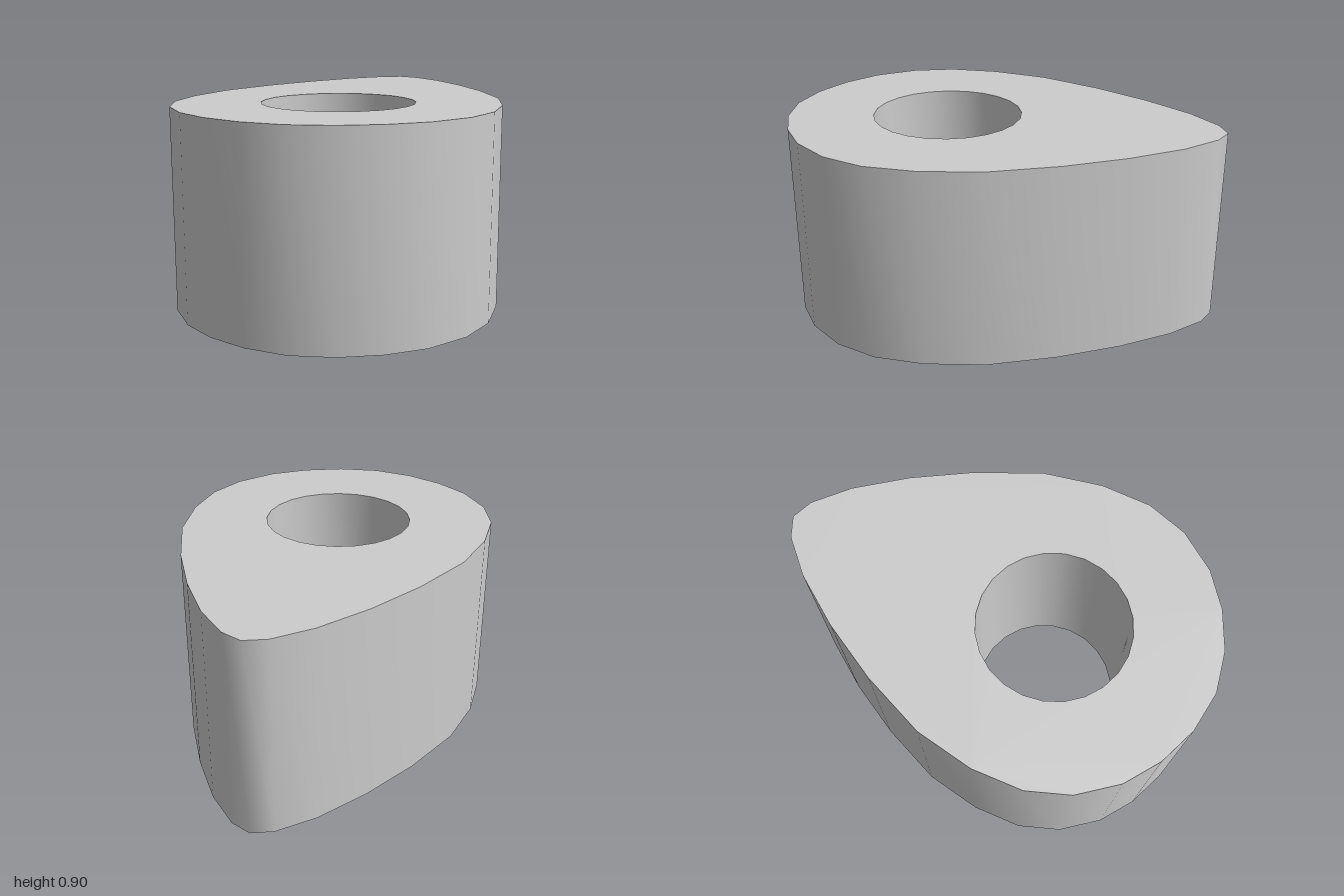
import * as THREE from 'three';
import { toCreasedNormals } from 'three/addons/utils/BufferGeometryUtils.js';

const HEIGHT = 0.9;

// Half of the teardrop outline as [x, z], from the back tip to the front
const HALF = [
  [0, -1], [0.095, -0.96], [0.235, -0.825], [0.39, -0.61], [0.535, -0.355],
  [0.66, -0.065], [0.71, 0.2], [0.705, 0.43], [0.64, 0.62], [0.515, 0.785],
  [0.365, 0.895], [0.19, 0.97], [0, 1],
];

export function createModel() {
  const group = new THREE.Group();
  group.name = 'camLobe';

  // Mirror the half outline into a closed teardrop
  const mirrored = HALF.slice(1, -1).reverse().map(([x, z]) => [-x, z]);
  const shape = new THREE.Shape([...HALF, ...mirrored].map(([x, z]) => new THREE.Vector2(x, z)));

  // Round shaft hole through the wide end
  const sides = 24, radius = 0.34, centreZ = 0.265;
  const hole = [];
  for (let i = 0; i < sides; i++) {
    const a = (i / sides) * Math.PI * 2;
    hole.push(new THREE.Vector2(radius * Math.cos(a), centreZ + radius * Math.sin(a)));
  }
  shape.holes.push(new THREE.Path(hole));

  // Extrude, then lay flat so the outline lies in x and z
  const extruded = new THREE.ExtrudeGeometry(shape, { depth: HEIGHT, bevelEnabled: false });
  extruded.rotateX(Math.PI / 2).translate(0, HEIGHT, 0);

  // Smooth walls with sharp rims
  const body = new THREE.Mesh(
    toCreasedNormals(extruded, 0.9),
    new THREE.MeshStandardMaterial({ color: 0xcccccc }),
  );
  body.name = 'lobeBody';
  group.add(body);
  return group;
}
